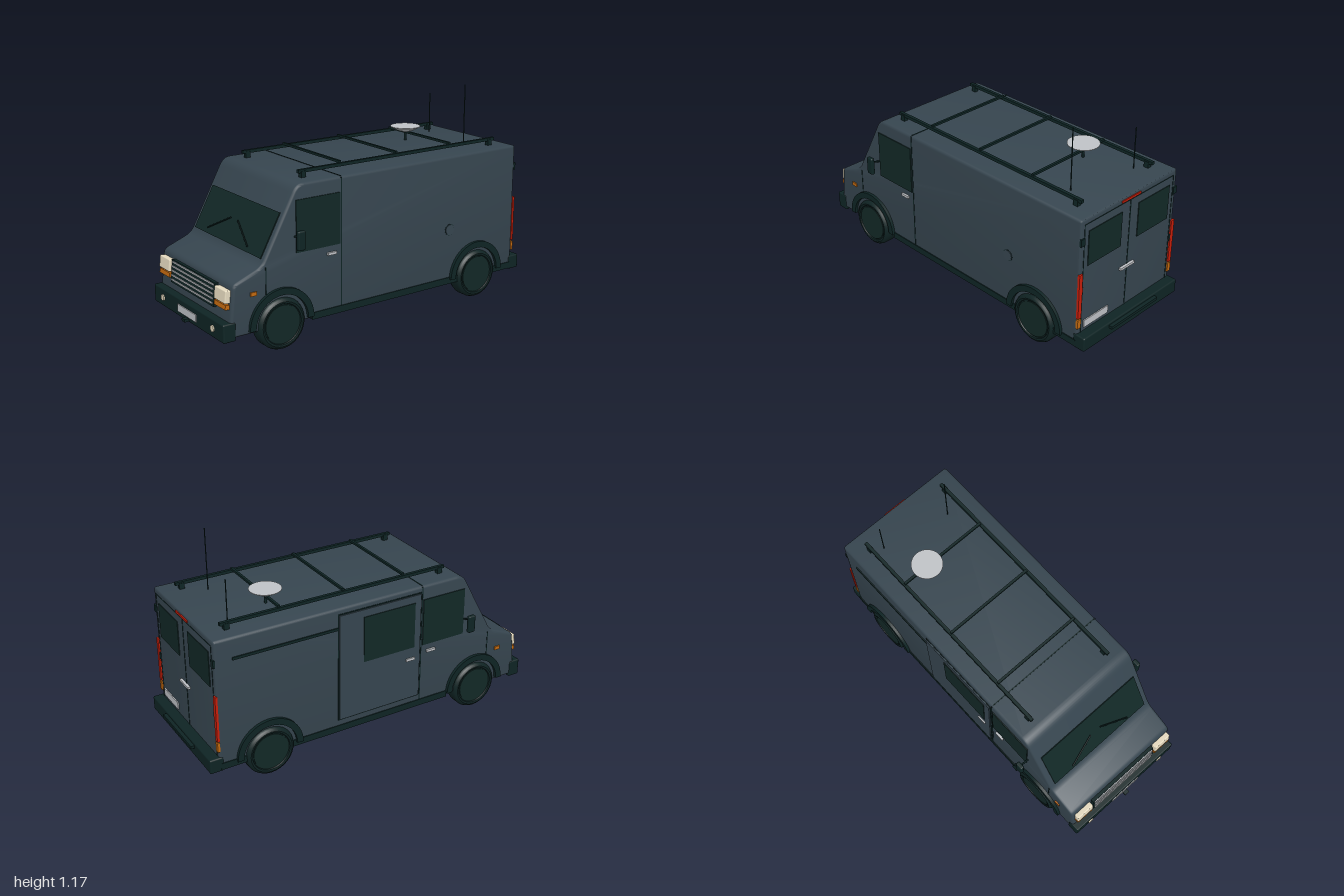
import * as THREE from 'three';
import { toCreasedNormals } from 'three/addons/utils/BufferGeometryUtils.js';
import { RoundedBoxGeometry } from 'three/addons/geometries/RoundedBoxGeometry.js';

const mat = (name, color) => {
  const m = new THREE.MeshStandardMaterial({ color });
  m.name = name;
  return m;
};

export function createModel() {
  const van = new THREE.Group();
  van.name = 'van';
  const body = mat('slate paint', 0x36454f);
  const trim = mat('dark trim', 0x0e2424);
  const glass = mat('dark glass', 0x122826);
  const tyre = mat('tyre rubber', 0x0f2323);
  const silver = mat('silver', 0xbfc2c6);
  const cream = mat('lamp cream', 0xe6dbc0);
  const amber = mat('amber', 0xc46a10);
  const red = mat('red', 0xc81e0a);

  const add = (name, geo, m, x = 0, y = 0, z = 0, parent = van) => {
    const mesh = new THREE.Mesh(geo, m);
    mesh.name = name;
    mesh.position.set(x, y, z);
    parent.add(mesh);
    return mesh;
  };
  // box given by its min and max on each axis
  const box = (name, m, [x0, x1], [y0, y1], [z0, z1], parent = van, r = 0) => {
    const s = [x1 - x0, y1 - y0, z1 - z0];
    const g = r ? new RoundedBoxGeometry(...s, 2, r) : new THREE.BoxGeometry(...s);
    return add(name, g, m, (x0 + x1) / 2, (y0 + y1) / 2, (z0 + z1) / 2, parent);
  };
  // round bar between two points
  const rod = (name, m, a, b, r, parent = van) => {
    const A = new THREE.Vector3(...a), B = new THREE.Vector3(...b);
    const mesh = add(name, new THREE.CylinderGeometry(r, r, A.distanceTo(B), 8), m, 0, 0, 0, parent);
    mesh.position.copy(A).lerp(B, 0.5);
    mesh.quaternion.setFromUnitVectors(new THREE.Vector3(0, 1, 0), B.sub(A).normalize());
    return mesh;
  };
  // thin plate on a flank: s = +1 left side, -1 right side
  const flank = (name, m, s, y, z, out = 0.004) => {
    const a = s * 0.36, b = s * (0.363 + out);
    return box(name, m, [Math.min(a, b), Math.max(a, b)], y, z);
  };
  const pair = fn => [1, -1].forEach(fn);

  // body shell: side profile in (z, y), extruded across the width
  const p = new THREE.Shape();
  p.moveTo(-0.925, 0.125);
  p.lineTo(-0.925, 0.828);
  p.quadraticCurveTo(-0.925, 0.84, -0.913, 0.84);
  p.lineTo(0.5, 0.84);
  p.quadraticCurveTo(0.542, 0.84, 0.565, 0.797);
  p.lineTo(0.735, 0.485);
  p.quadraticCurveTo(0.75, 0.457, 0.78, 0.444);
  p.lineTo(0.89, 0.402);
  p.quadraticCurveTo(0.912, 0.394, 0.916, 0.37);
  p.lineTo(0.935, 0.2);
  p.lineTo(0.935, 0.125);
  const bev = 0.014;
  const shell = new THREE.ExtrudeGeometry(p, {
    depth: 0.726 - 2 * bev, bevelEnabled: true, bevelSize: bev, bevelOffset: -bev,
    bevelThickness: bev, bevelSegments: 3, curveSegments: 6,
  });
  shell.translate(0, 0, -(0.726 - 2 * bev) / 2).rotateY(-Math.PI / 2);
  add('bodyShell', toCreasedNormals(shell, 0.6), body);
  box('sill', trim, [-0.368, 0.368], [0.118, 0.155], [-0.92, 0.46]);

  // windscreen with wipers
  const screen = new THREE.Group();
  screen.name = 'windscreen';
  screen.position.set(0, 0.5925, 0.677);
  screen.rotation.x = -0.497;
  van.add(screen);
  box('windscreenGlass', glass, [-0.33, 0.33], [-0.122, 0.122], [-0.003, 0.005], screen);
  pair(s => rod('wiper', trim, [s * 0.2, -0.094, 0.014], [s * 0.035, 0.003, 0.014], 0.004, screen));

  // front panel: grille, headlamps and indicators
  const face = new THREE.Group();
  face.name = 'frontPanel';
  face.position.set(0, 0.31, 0.923);
  face.rotation.x = -0.11;
  van.add(face);
  box('grille', trim, [-0.225, 0.225], [-0.06, 0.062], [-0.01, 0.018], face);
  for (let i = 0; i < 5; i++) {
    const y = -0.043 + i * 0.0235;
    box('grilleSlat', silver, [-0.215, 0.215], [y - 0.004, y + 0.004], [0.01, 0.024], face);
  }
  pair(s => {
    add('headlamp', new RoundedBoxGeometry(0.11, 0.066, 0.04, 2, 0.006), cream, s * 0.29, 0.023, 0.008, face);
    add('indicator', new THREE.BoxGeometry(0.11, 0.024, 0.034), amber, s * 0.29, -0.028, 0.006, face);
  });

  // bumpers, plates and fog lamps
  box('frontBumper', trim, [-0.366, 0.366], [0.11, 0.207], [0.905, 0.975], van, 0.008);
  box('frontPlate', silver, [-0.097, 0.097], [0.137, 0.177], [0.97, 0.98]);
  box('towHook', trim, [-0.015, 0.015], [0.115, 0.13], [0.95, 1]);
  pair(s => add('fogLamp', new THREE.CylinderGeometry(0.017, 0.017, 0.016, 16).rotateX(Math.PI / 2), cream, s * 0.263, 0.16, 0.974));
  box('rearBumper', trim, [-0.366, 0.366], [0.11, 0.19], [-0.98, -0.905], van, 0.008);
  box('rearStep', trim, [-0.18, 0.18], [0.162, 0.178], [-1, -0.95]);

  // wheels and arches
  const tyrePts = [[0, 0.29], [0.115, 0.29], [0.13, 0.297], [0.136, 0.312], [0.136, 0.362],
    [0.13, 0.376], [0.118, 0.383], [0.108, 0.381], [0.105, 0.374], [0, 0.374]];
  const wheelGeo = toCreasedNormals(new THREE.LatheGeometry(tyrePts.map(q => new THREE.Vector2(...q)), 32), 0.7);
  const ring = new THREE.Shape();
  ring.absarc(0, 0, 0.188, 0, Math.PI, false);
  ring.absarc(0, 0, 0.153, Math.PI, 0, true);
  const archGeo = new THREE.ExtrudeGeometry(ring, { depth: 0.03, bevelEnabled: false, curveSegments: 24 });
  archGeo.translate(0, 0, -0.015).rotateY(-Math.PI / 2);
  const arch = toCreasedNormals(archGeo, 0.6);
  pair(s => [0.645, -0.645].forEach(z => {
    add('wheel', wheelGeo, tyre, 0, 0.141, z).rotation.z = -s * Math.PI / 2;
    const hub = new THREE.CylinderGeometry(0.1, 0.1, 0.006, 32).rotateZ(Math.PI / 2);
    add('wheelDisc', hub, glass, s * 0.376, 0.141, z);
    add('wheelArch', arch, trim, s * 0.365, 0.141, z);
  }));

  // cab doors, mirrors and side markers
  pair(s => {
    flank('doorWindow', glass, s, [0.49, 0.76], [0.285, 0.552], 0.005);
    flank('doorSeamRear', trim, s, [0.15, 0.835], [0.274, 0.28], 0.002);
    flank('doorSeamFront', trim, s, [0.3, 0.45], [0.727, 0.732], 0.002);
    flank('doorHandle', silver, s, [0.442, 0.456], [0.312, 0.367], 0.012);
    flank('sideMarker', amber, s, [0.32, 0.34], [0.785, 0.82], 0.007);
    rod('mirrorArm', trim, [s * 0.355, 0.573, 0.56], [s * 0.42, 0.594, 0.56], 0.005);
    add('mirror', new RoundedBoxGeometry(0.024, 0.1, 0.044, 2, 0.008), trim, s * 0.423, 0.571, 0.562);
  });
  box('roofSeam', trim, [-0.355, 0.355], [0.835, 0.842], [0.274, 0.28]);

  // sliding door on the right flank, fuel cap on the left
  flank('slidingDoorGap', trim, -1, [0.185, 0.808], [-0.24, 0.27], 0.003);
  flank('slidingDoor', body, -1, [0.192, 0.802], [-0.234, 0.264], 0.01);
  flank('slidingDoorWindow', glass, -1, [0.5, 0.76], [-0.09, 0.225], 0.014);
  flank('slidingDoorHandle', silver, -1, [0.425, 0.44], [0.175, 0.23], 0.018);
  flank('slidingDoorRail', trim, -1, [0.72, 0.735], [-0.83, -0.24], 0.006);
  add('fuelCapRim', new THREE.CylinderGeometry(0.032, 0.032, 0.01, 24).rotateZ(Math.PI / 2), trim, 0.359, 0.43, -0.45);
  add('fuelCap', new THREE.CylinderGeometry(0.029, 0.029, 0.014, 24).rotateZ(Math.PI / 2), body, 0.36, 0.43, -0.45);

  // rear doors and lamps
  const back = (name, m, x, y, out = 0.004) => box(name, m, x, y, [-0.925 - out, -0.92]);
  back('rearDoorSeam', trim, [-0.003, 0.003], [0.19, 0.81], 0.002);
  back('rearDoorTopSeam', trim, [-0.335, 0.335], [0.807, 0.811], 0.002);
  pair(s => {
    const span = (a, b) => (s > 0 ? [a, b] : [-b, -a]);
    back('rearDoorEdge', trim, span(0.332, 0.336), [0.19, 0.81], 0.002);
    back('rearWindow', glass, span(0.062, 0.305), [0.57, 0.765]);
    back('tailLamp', red, span(0.342, 0.365), [0.285, 0.54], 0.008);
    back('rearIndicator', amber, span(0.342, 0.365), [0.225, 0.277], 0.008);
    [0.44, 0.72].forEach(y => back('hinge', trim, span(0.335, 0.362), [y - 0.02, y + 0.02], 0.007));
  });
  back('rearHandle', silver, [-0.045, 0.06], [0.425, 0.438], 0.014);
  back('rearPlate', silver, [0.135, 0.315], [0.21, 0.252], 0.006);
  back('highBrakeLamp', red, [-0.07, 0.07], [0.816, 0.828], 0.006);

  // roof rack
  pair(s => {
    box('rackRail', trim, [s * 0.265 - 0.009, s * 0.265 + 0.009], [0.864, 0.881], [-0.845, 0.475]);
    [0.445, -0.81].forEach(z => box('rackFoot', trim,
      [s * 0.265 - 0.012, s * 0.265 + 0.012], [0.835, 0.873], [z - 0.014, z + 0.014]));
  });
  [-0.52, -0.15, 0.215].forEach(z =>
    box('rackCrossbar', trim, [-0.265, 0.265], [0.88, 0.892], [z - 0.007, z + 0.007]));

  // dish and aerials
  const dishPts = [[0, 0], [0.025, 0.001], [0.055, 0.012], [0.085, 0.029], [0.085, 0.032], [0, 0.032]];
  const dish = new THREE.LatheGeometry(dishPts.map(q => new THREE.Vector2(...q)), 32);
  add('dish', toCreasedNormals(dish, 0.6), silver, -0.112, 0.89, -0.515);
  rod('dishStalk', trim, [-0.112, 0.835, -0.515], [-0.112, 0.893, -0.515], 0.007);
  rod('aerial', trim, [-0.203, 0.835, -0.772], [-0.203, 1.07, -0.772], 0.003);
  rod('aerial', trim, [0.183, 0.835, -0.697], [0.183, 1.18, -0.697], 0.003);
  return van;
}
